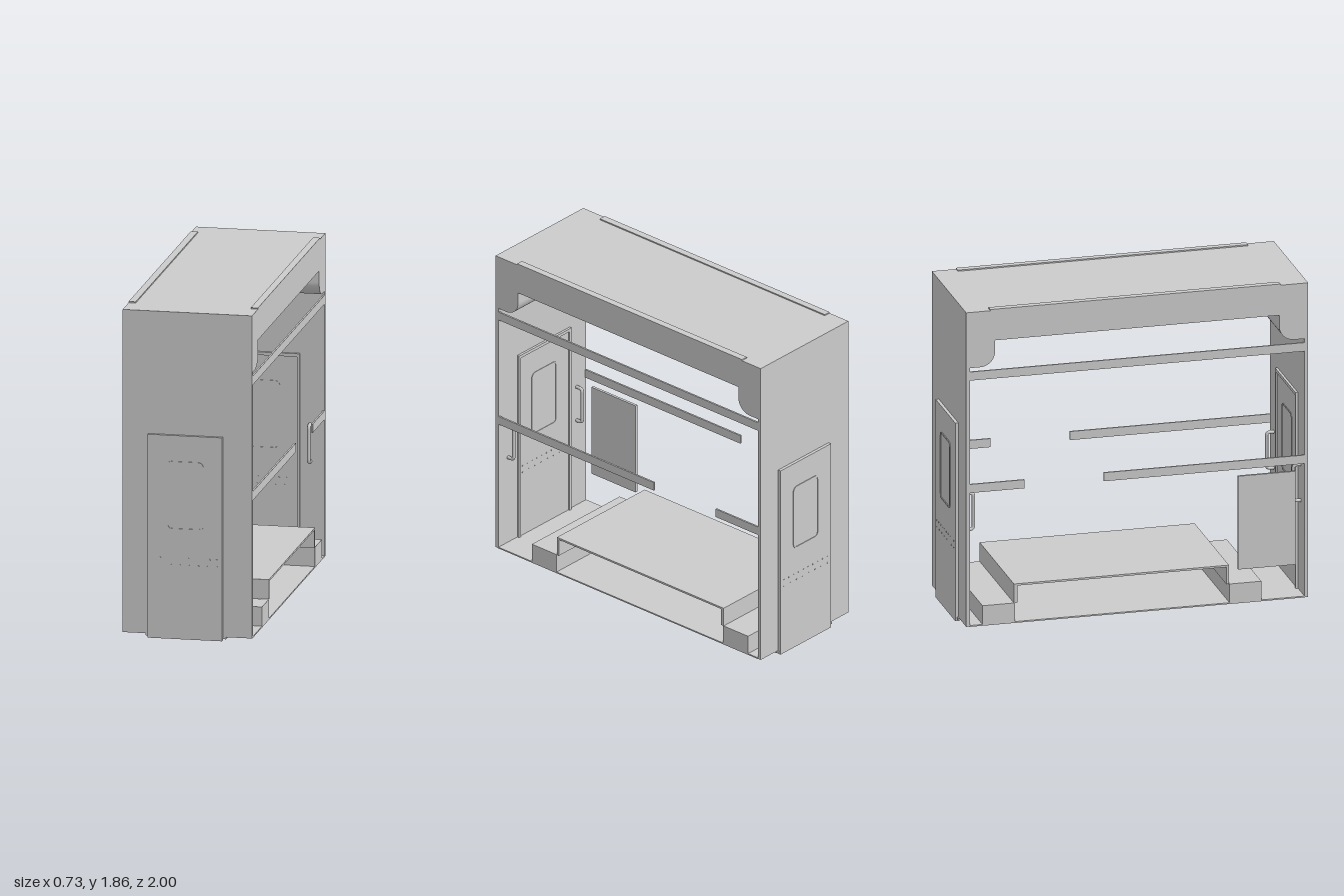
import * as THREE from 'three';

const grey = new THREE.MeshStandardMaterial({ color: 0xcccccc });
const HALF = 0.365; // half width of the whole frame
const DOOR_X = -0.01; // doors sit slightly off centre

function add(parent, name, geometry) {
  const mesh = new THREE.Mesh(geometry, grey);
  mesh.name = name;
  parent.add(mesh);
  return mesh;
}

// Box given by its limits on each axis
function box(parent, name, x0, x1, y0, y1, z0, z1) {
  const mesh = add(parent, name, new THREE.BoxGeometry(x1 - x0, y1 - y0, z1 - z0));
  mesh.position.set((x0 + x1) / 2, (y0 + y1) / 2, (z0 + z1) / 2);
  return mesh;
}

function roundedRect(Type, w, h, r) {
  const p = new Type();
  const x = w / 2, y = h / 2;
  p.moveTo(-x + r, -y);
  p.lineTo(x - r, -y);
  p.absarc(x - r, -y + r, r, -Math.PI / 2, 0);
  p.lineTo(x, y - r);
  p.absarc(x - r, y - r, r, 0, Math.PI / 2);
  p.lineTo(-x + r, y);
  p.absarc(-x + r, y - r, r, Math.PI / 2, Math.PI);
  p.lineTo(-x, -y + r);
  p.absarc(-x + r, -y + r, r, Math.PI, Math.PI * 1.5);
  return p;
}

// Thin rounded ring around a window
function windowTrim(parent, z) {
  const shape = roundedRect(THREE.Shape, 0.21, 0.39, 0.03);
  shape.holes.push(roundedRect(THREE.Path, 0.192, 0.372, 0.022));
  const trim = add(parent, 'windowTrim',
    new THREE.ExtrudeGeometry(shape, { depth: 0.005, bevelEnabled: false, curveSegments: 6 }));
  trim.position.set(DOOR_X, 0.815, z);
}

// Two rows of small rivets across a door
function rivets(parent, z) {
  const geometry = new THREE.CylinderGeometry(0.004, 0.004, 0.004, 8).rotateX(Math.PI / 2);
  for (const [y, count] of [[0.46, 10], [0.42, 8]]) {
    for (let i = 0; i < count; i++) {
      const rivet = add(parent, 'rivet', geometry);
      rivet.position.set(DOOR_X - 0.18 + 0.36 * i / (count - 1), y, z);
    }
  }
}

// Grab handle standing off the inner wall
function handle(parent, x) {
  const path = new THREE.CurvePath();
  const v = (y, z) => new THREE.Vector3(x, y, z);
  path.add(new THREE.LineCurve3(v(0.56, 0.957), v(0.56, 0.935)));
  path.add(new THREE.QuadraticBezierCurve3(v(0.56, 0.935), v(0.56, 0.915), v(0.58, 0.915)));
  path.add(new THREE.LineCurve3(v(0.58, 0.915), v(0.75, 0.915)));
  path.add(new THREE.QuadraticBezierCurve3(v(0.75, 0.915), v(0.77, 0.915), v(0.77, 0.935)));
  path.add(new THREE.LineCurve3(v(0.77, 0.935), v(0.77, 0.957)));
  add(parent, 'grabHandle', new THREE.TubeGeometry(path, 40, 0.01, 8));
}

// End wall with its door, seen from outside and inside
function endWall() {
  const end = new THREE.Group();
  const x0 = DOOR_X - 0.21, x1 = DOOR_X + 0.21;
  box(end, 'wall', -HALF, HALF, 0.02, 1.855, 0.957, 0.978);
  box(end, 'outerDoor', x0, x1, 0, 1.157, 0.978, 0.996);
  box(end, 'doorSill', x0 - 0.015, x1 + 0.02, 0.01, 0.022, 0.95, 0.985);
  windowTrim(end, 0.995);
  rivets(end, 0.996);

  box(end, 'innerDoor', x0, x1, 0.025, 1.15, 0.952, 0.957);
  for (const x of [x0, x1]) box(end, 'doorJamb', x - 0.008, x + 0.008, 0.025, 1.17, 0.943, 0.957);
  box(end, 'doorHead', x0, x1, 1.152, 1.17, 0.943, 0.957);
  windowTrim(end, 0.949);
  rivets(end, 0.952);
  for (const x of [-0.285, 0.285]) handle(end, x);
  return end;
}

// Rounded bulkhead that drops from the ceiling at one end, across the full width
function bulkhead() {
  const s = new THREE.Shape();
  s.moveTo(0.975, 1.85);
  s.lineTo(0.813, 1.85);
  s.lineTo(0.813, 1.615);
  s.absarc(0.898, 1.615, 0.085, Math.PI, Math.PI * 1.5);
  s.lineTo(0.975, 1.53);
  const g = new THREE.ExtrudeGeometry(s, { depth: 2 * HALF, bevelEnabled: false, curveSegments: 12 });
  return g.rotateY(-Math.PI / 2).translate(HALF, 0, 0);
}

export function createModel() {
  const model = new THREE.Group();
  model.name = 'vestibuleFrame';

  // Both ends, the back one turned half round
  for (const [name, turn] of [['frontEnd', 0], ['backEnd', Math.PI]]) {
    const end = endWall();
    end.name = name;
    add(end, 'bulkhead', bulkhead());
    end.rotation.y = turn;
    model.add(end);
  }

  // Roof and floor
  box(model, 'roof', -HALF, HALF, 1.84, 1.855, -0.978, 0.978);
  box(model, 'floor', -HALF, HALF, 0.018, 0.026, -0.96, 0.96);

  // Parts repeated on both long sides
  for (const side of [-1, 1]) {
    const strip = (name, inner, outer, ...yz) =>
      box(model, name, Math.min(side * inner, side * outer), Math.max(side * inner, side * outer), ...yz);
    strip('valance', 0.355, HALF, 1.68, 1.85, -0.82, 0.82);
    strip('roofStrip', 0.325, HALF, 1.85, 1.862, -0.84, 0.82);
    strip('upperRail', 0.355, HALF, 1.457, 1.507, -0.957, 0.957);
    strip('longMidRail', 0.355, HALF, 0.8, 0.85, -0.19, 0.957);
    strip('shortMidRail', 0.355, HALF, 0.8, 0.85, -0.957, -0.645);
  }

  // Raised platform with a riser and a step at each end
  box(model, 'platform', -HALF, HALF, 0.235, 0.246, -0.705, 0.525);
  box(model, 'frontRiser', -HALF, HALF, 0.135, 0.235, 0.51, 0.525);
  box(model, 'backRiser', -HALF, HALF, 0.135, 0.235, -0.705, -0.685);
  box(model, 'frontStep', -HALF, HALF, 0.026, 0.135, 0.528, 0.71);
  box(model, 'backStep', -HALF, HALF, 0.026, 0.135, -0.885, -0.7);

  // Side panel beside the front steps
  box(model, 'sidePanel', -HALF, -HALF + 0.015, 0.215, 0.76, 0.578, 0.905);

  return model;
}
